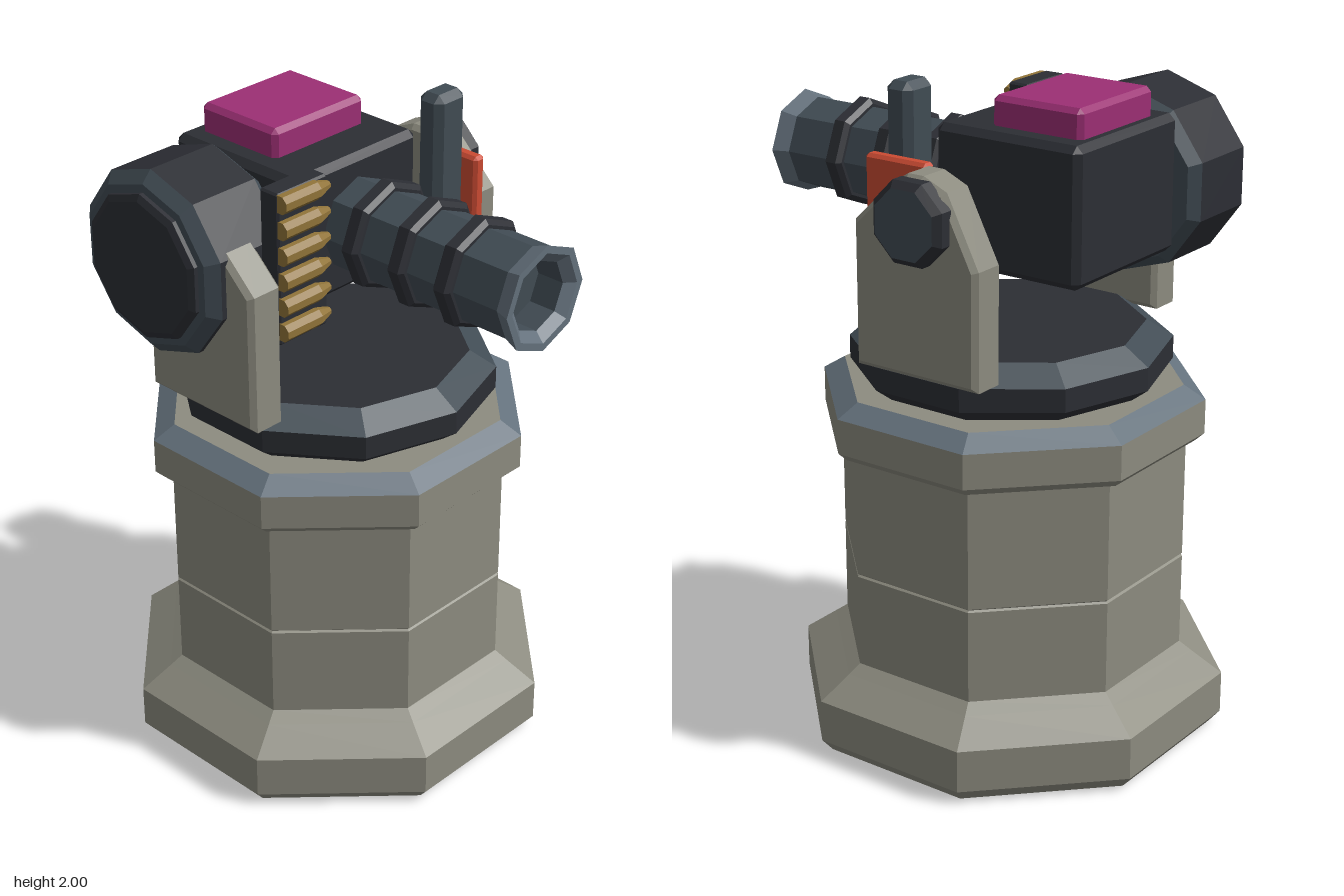
import * as THREE from 'three';
import { ConvexGeometry } from 'three/addons/geometries/ConvexGeometry.js';

const material = (color) =>
  new THREE.MeshStandardMaterial({ color, flatShading: true, side: THREE.DoubleSide });

export function createModel() {
  const group = new THREE.Group();
  const stone = material(0x8d8c80);
  const dark = material(0x2c2e34);
  const slate = material(0x414c54);
  const steel = material(0x64717c);
  const pink = material(0x9c2f74);
  const orange = material(0xcb4b33);
  const brass = material(0x917439);
  const CZ = -0.083; // z of the pedestal's centre

  const add = (name, geometry, mat, x = 0, y = 0, z = 0) => {
    const mesh = new THREE.Mesh(geometry, mat);
    mesh.name = name;
    mesh.position.set(x, y, z);
    group.add(mesh);
    return mesh;
  };

  // Faceted turned part; profile is [radius, distance along axis]
  const turned = (profile, sides, axis = 'y', start = Math.PI / sides) => {
    const pts = profile.map(([r, h]) => new THREE.Vector2(r, h));
    const g = new THREE.LatheGeometry(pts, sides, start);
    if (axis === 'x') g.rotateZ(-Math.PI / 2);
    if (axis === 'z') g.rotateX(Math.PI / 2);
    return g;
  };

  // Octagonal profile given by half-widths across flats
  const octagon = (profile) =>
    turned(profile.map(([a, h]) => [a / Math.cos(Math.PI / 8), h]), 8);

  // Box with all edges chamfered by b
  const chamferBox = (w, h, d, b) => {
    const pts = [];
    for (const sx of [-1, 1]) for (const sy of [-1, 1]) for (const sz of [-1, 1]) {
      for (let k = 0; k < 3; k++) {
        const inset = [b, b, b];
        inset[k] = 0;
        pts.push(new THREE.Vector3(
          sx * (w / 2 - inset[0]), sy * (h / 2 - inset[1]), sz * (d / 2 - inset[2])));
      }
    }
    return new ConvexGeometry(pts);
  };

  // Pedestal
  add('baseFoot', octagon([[0, 0], [0.575, 0], [0.607, 0.04], [0.607, 0.17],
    [0.52, 0.235], [0.485, 0.262]]), stone, 0, 0, CZ);
  add('column', octagon([[0.485, 0.255], [0.485, 0.545], [0.479, 0.55], [0.485, 0.555],
    [0.485, 0.93]]), stone, 0, 0, CZ);
  add('collar', octagon([[0.48, 0.92], [0.51, 0.92], [0.535, 0.945], [0.535, 1.05]]),
    stone, 0, 0, CZ);
  add('collarBevel', octagon([[0.535, 1.05], [0.475, 1.09]]), steel, 0, 0, CZ);
  add('collarTop', octagon([[0.475, 1.09], [0, 1.09]]), stone, 0, 0, CZ);

  // Turntable
  add('turntable', turned([[0.42, 1.088], [0.475, 1.13], [0.475, 1.2]], 10, 'y', 0),
    dark, 0, 0, CZ);
  add('turntableBevel', turned([[0.475, 1.2], [0.395, 1.25]], 10, 'y', 0), slate, 0, 0, CZ);
  add('turntableTop', turned([[0.395, 1.25], [0, 1.25]], 10, 'y', 0), dark, 0, 0, CZ);

  // Side brackets: outline in (z, y), extruded along x
  const outline = new THREE.Shape([
    [0.075, 1.235], [0.075, 1.635], [-0.045, 1.75], [-0.10, 1.785], [-0.145, 1.785],
    [-0.215, 1.755], [-0.315, 1.56], [-0.315, 1.235],
  ].map(([z, y]) => new THREE.Vector2(-z, y)));
  const bracket = new THREE.ExtrudeGeometry(outline, {
    depth: 0.09, bevelEnabled: true, bevelSegments: 1, bevelSize: 0.015, bevelThickness: 0.015,
  });
  bracket.translate(0, 0, -0.045).rotateY(Math.PI / 2);
  add('leftBracket', bracket, stone, 0.448);
  add('rightBracket', bracket, stone, -0.448);

  // Pivot bolt on the left bracket
  add('pivotBolt', turned([[0.126, 0.5], [0.126, 0.54], [0.105, 0.56]], 8, 'x'),
    dark, 0, 1.675, -0.128);
  add('pivotBoltFace', turned([[0.105, 0.56], [0, 0.56]], 8, 'x'), slate, 0, 1.675, -0.128);

  // Gun housing and its top hatch
  add('housing', chamferBox(0.5, 0.405, 0.485, 0.02), dark, 0, 1.673, -0.238);
  add('topHatch', chamferBox(0.36, 0.12, 0.3, 0.015), pink, 0, 1.9, -0.29);

  // Ammunition drum
  const drumAt = [0, 1.64, -0.27];
  add('drum', turned([[0.28, -0.525], [0.28, -0.295]], 10, 'x'), dark, ...drumAt);
  add('drumOuterBevel', turned([[0, -0.557], [0.245, -0.557], [0.28, -0.525]], 10, 'x'),
    slate, ...drumAt);
  add('drumInnerBevel', turned([[0.28, -0.295], [0.25, -0.263], [0, -0.263]], 10, 'x'),
    slate, ...drumAt);
  add('drumCap', turned([[0, -0.58], [0.2, -0.58], [0.22, -0.57], [0.22, -0.55]], 10, 'x'),
    dark, ...drumAt);

  // Barrel with flared muzzle, bore and clamp rings
  const gunY = 1.67;
  add('barrel', turned([[0.14, -0.02], [0.14, 0.64]], 8, 'z', 0), slate, 0, gunY, 0);
  add('muzzle', turned([[0.14, 0.64], [0.158, 0.69], [0.135, 0.69], [0.105, 0.665]], 8, 'z', 0),
    steel, 0, gunY, 0);
  add('bore', turned([[0.105, 0.665], [0.105, 0.58], [0, 0.58]], 8, 'z', 0), slate, 0, gunY, 0);
  for (const z of [0.117, 0.29, 0.457]) {
    add('barrelRing', turned([[0.13, -0.03], [0.15, -0.03], [0.165, -0.018], [0.165, 0.018],
      [0.15, 0.03], [0.13, 0.03]], 8, 'z', 0), dark, 0, gunY, z);
  }

  // Cartridge belt
  add('beltPlate', chamferBox(0.19, 0.46, 0.07, 0.006), dark, -0.282, 1.67, 0.032);
  const cartridge = turned([[0, -0.375], [0.028, -0.375], [0.028, -0.24], [0.012, -0.19],
    [0, -0.19]], 8, 'x');
  for (let i = 0; i < 6; i++) add('cartridge', cartridge, brass, 0, 1.484 + i * 0.0775, 0.073);

  // Upright sight bar and side shield
  add('sightBar', chamferBox(0.122, 0.585, 0.09, 0.022), slate, 0.29, 1.7075, 0.058);
  add('sideShield', chamferBox(0.042, 0.315, 0.217, 0.01), orange, 0.364, 1.638, 0.037);

  return group;
}
